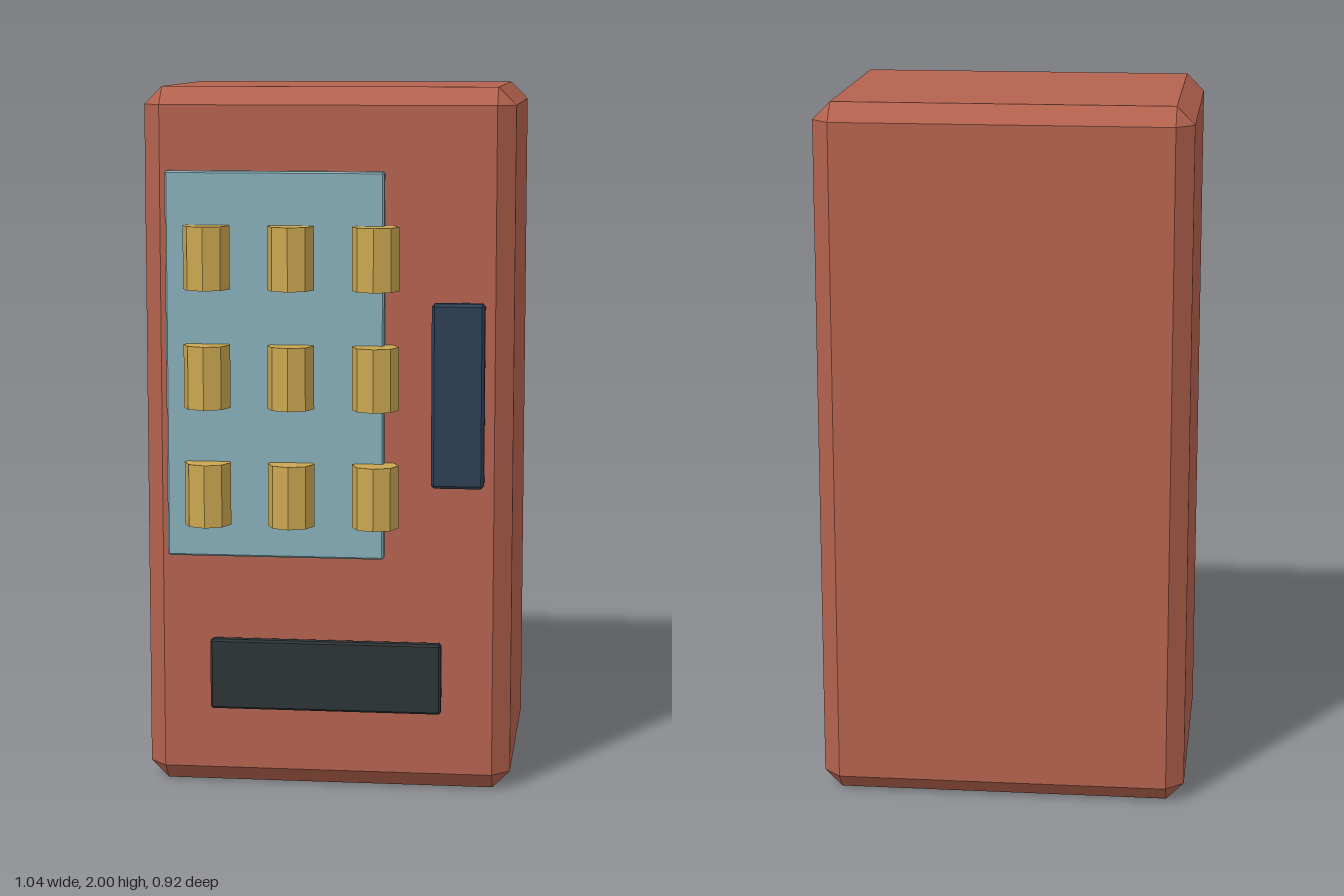
import * as THREE from 'three';
import { ConvexGeometry } from 'three/addons/geometries/ConvexGeometry.js';

const material = (name, color) => {
  const m = new THREE.MeshStandardMaterial({ color });
  m.name = name;
  return m;
};

// Box between two corners with every edge cut flat by the bevel width
function chamferBox(name, min, max, bevel, mat) {
  const size = max.map((v, i) => v - min[i]);
  const points = [];
  for (const sx of [-1, 1]) for (const sy of [-1, 1]) for (const sz of [-1, 1]) {
    for (let axis = 0; axis < 3; axis++) {
      const p = [sx, sy, sz].map((s, i) => s * (size[i] / 2 - (i === axis ? 0 : bevel)));
      points.push(new THREE.Vector3(...p));
    }
  }
  const mesh = new THREE.Mesh(new ConvexGeometry(points), mat);
  mesh.name = name;
  mesh.position.set(...max.map((v, i) => (v + min[i]) / 2));
  return mesh;
}

export function createModel() {
  const red = material('brick red', 0xb3624e);
  const glass = material('pale blue glass', 0x86aeb7);
  const gold = material('gold', 0xc9a650);
  const navy = material('navy', 0x2d3f52);
  const charcoal = material('charcoal', 0x2d3436);

  const model = new THREE.Group();
  model.name = 'vendingMachine';

  // Cabinet and the panels on its front
  model.add(
    chamferBox('cabinet', [-0.522, 0, -0.458], [0.522, 2, 0.348], 0.05, red),
    chamferBox('displayWindow', [-0.454, 0.676, 0.346], [0.163, 1.768, 0.375], 0.005, glass),
    chamferBox('controlPanel', [0.297, 0.886, 0.353], [0.445, 1.406, 0.394], 0.008, navy),
    chamferBox('dispenserSlot', [-0.332, 0.234, 0.356], [0.328, 0.437, 0.39], 0.006, charcoal),
  );

  // Three shelves of three eight-sided cans
  const cans = new THREE.Group();
  cans.name = 'cans';
  const canGeometry = new THREE.CylinderGeometry(0.066, 0.066, 0.178, 8).toNonIndexed();
  canGeometry.computeVertexNormals();
  for (const y of [0.861, 1.195, 1.529]) {
    for (const x of [-0.334, -0.097, 0.141]) {
      const can = new THREE.Mesh(canGeometry, gold);
      can.name = 'can';
      can.position.set(x, y, 0.392);
      cans.add(can);
    }
  }
  model.add(cans);
  return model;
}
